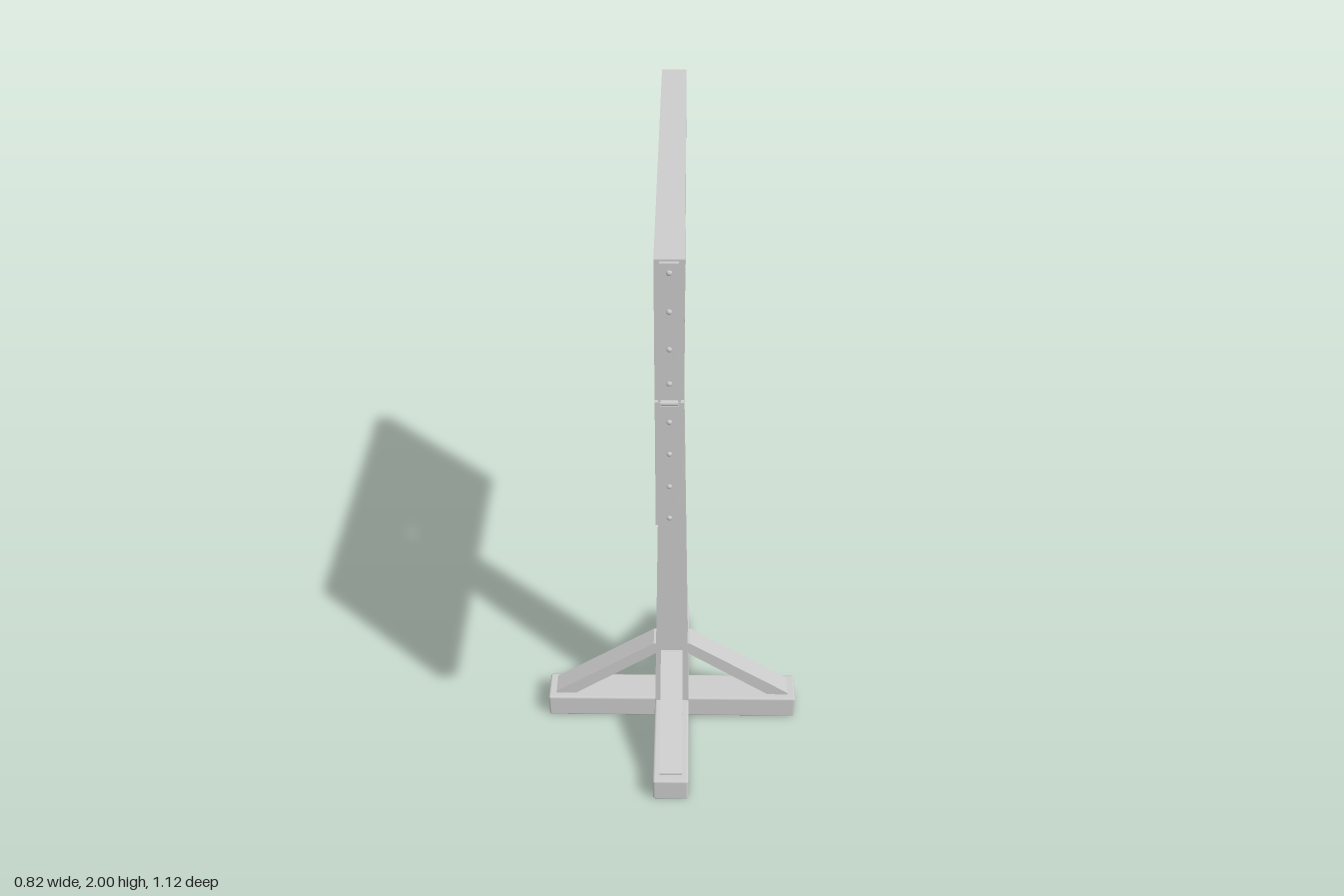
import * as THREE from 'three';
import { RoundedBoxGeometry } from 'three/addons/geometries/RoundedBoxGeometry.js';
import { toCreasedNormals } from 'three/addons/utils/BufferGeometryUtils.js';

const CZ = -0.009;      // centre line of the timber in z
const SEAM = 1.62;      // height of the split between the two boards
const HALF_GAP = 0.004;
const material = new THREE.MeshStandardMaterial({ color: 0xcccccc });

function add(parent, name, geometry, x = 0, y = 0, z = 0) {
  const mesh = new THREE.Mesh(geometry, material);
  mesh.name = name;
  mesh.position.set(x, y, z);
  parent.add(mesh);
  return mesh;
}

// Extrude a profile symmetrically about its own plane
function slab(shape, depth) {
  const g = new THREE.ExtrudeGeometry(shape, { depth, bevelEnabled: false, curveSegments: 20 });
  g.translate(0, 0, -depth / 2);
  return toCreasedNormals(g, 0.6);
}

// Neck hole and two wrist holes: [z, radius]
const holes = [[-0.265, 0.05], [0, 0.07], [0.265, 0.05]];
const HALF_WIDTH = 0.555;

// Half of the split board, with half-round notches along its lower edge
function boardHalf() {
  const s = new THREE.Shape();
  s.moveTo(-HALF_WIDTH, HALF_GAP);
  for (const [z, r] of holes) {
    const a = Math.asin(HALF_GAP / r);
    s.lineTo(z - r * Math.cos(a), HALF_GAP);
    s.absarc(z, 0, r, Math.PI - a, a, true);
  }
  s.lineTo(HALF_WIDTH, HALF_GAP);
  s.lineTo(HALF_WIDTH, 0.38);
  s.lineTo(-HALF_WIDTH, 0.38);
  s.closePath();
  return slab(s, 0.07).rotateY(-Math.PI / 2);
}

export function createModel() {
  const model = new THREE.Group();
  model.name = 'pillory';

  // Crossed base beams
  add(model, 'baseBeamAcross', new RoundedBoxGeometry(0.82, 0.085, 0.112, 2, 0.008), 0, 0.0425, CZ);
  add(model, 'baseBeamAlong', new RoundedBoxGeometry(0.112, 0.085, 0.822, 2, 0.008), 0, 0.0425, CZ);

  // Post, narrowing in x towards the board
  const post = new THREE.BoxGeometry(0.11, 1.16, 0.13);
  const p = post.attributes.position;
  for (let i = 0; i < p.count; i++) if (p.getY(i) > 0) p.setX(i, Math.sign(p.getX(i)) * 0.035);
  post.computeVertexNormals();
  add(model, 'post', post, 0, 0.66, CZ);

  // Four diagonal braces
  const names = ['braceLeft', 'braceBack', 'braceRight', 'braceFront'];
  names.forEach((name, i) => {
    const inner = i % 2 ? 0.06 : 0.045;
    const s = new THREE.Shape([
      new THREE.Vector2(inner, 0.315), new THREE.Vector2(inner, 0.277),
      new THREE.Vector2(0.325, 0.08), new THREE.Vector2(0.384, 0.08),
      new THREE.Vector2(0.384, 0.092), new THREE.Vector2(inner + 0.014, 0.315),
    ]);
    add(model, name, slab(s, 0.07), 0, 0, CZ).rotation.y = i * Math.PI / 2;
  });

  // Upper and lower boards
  add(model, 'upperBoard', boardHalf(), 0, SEAM, CZ);
  add(model, 'lowerBoard', boardHalf().rotateX(Math.PI), 0, SEAM, CZ);

  // Recessed tongue closing the seam between the holes
  const edges = [-HALF_WIDTH, ...holes.flatMap(([z, r]) => [z - r, z + r]), HALF_WIDTH];
  for (let i = 0; i < edges.length; i += 2) {
    const a = edges[i] + 0.002, b = edges[i + 1] - 0.002;
    add(model, 'seamTongue', new THREE.BoxGeometry(0.055, 2 * HALF_GAP, b - a), 0, SEAM, CZ + (a + b) / 2);
  }

  // Hinge on the front edge: two leaves, a knuckle and rows of nails
  const hinge = new THREE.Group();
  hinge.name = 'hinge';
  model.add(hinge);
  for (const side of [-1, 1]) {
    add(hinge, 'hingeLeaf', new THREE.BoxGeometry(0.044, 0.365, 0.008), 0, SEAM + side * 0.192, 0.55);
    for (const d of [0.055, 0.15, 0.25, 0.35]) {
      const nail = new THREE.SphereGeometry(0.007, 10, 6).scale(1, 1, 0.8);
      add(hinge, 'nail', nail, 0, SEAM + side * d, 0.554);
    }
  }
  add(hinge, 'hingeKnuckle', new THREE.CylinderGeometry(0.007, 0.007, 0.042, 12).rotateZ(Math.PI / 2), 0, SEAM, 0.553);

  return model;
}
